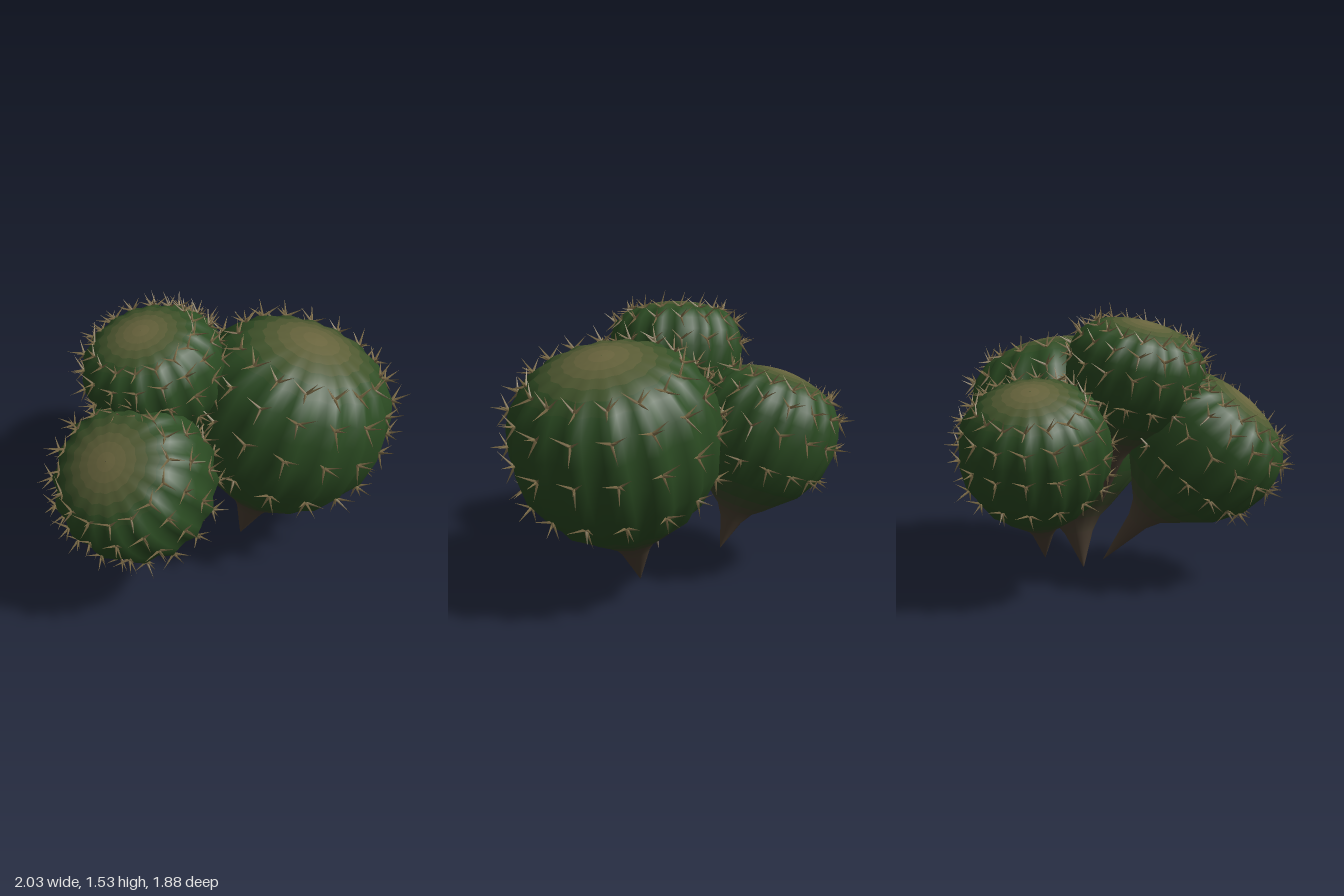
import * as THREE from 'three';
import { mergeGeometries } from 'three/addons/utils/BufferGeometryUtils.js';

const RIBS = 16, SEGS = RIBS * 4;
const UP = new THREE.Vector3(0, 1, 0);
const GREEN = new THREE.Color(0x2b4b22), BROWN = new THREE.Color(0x4a3e32), OLIVE = new THREE.Color(0x6c663f);

// Shared profile: [height / length, radius / max radius, rib depth, green share]
const PROFILE = [
  [0, 0.004, 0, 0], [0.15, 0.15, 0, 0], [0.21, 0.25, 0.01, 0.15], [0.25, 0.38, 0.02, 0.4], [0.3, 0.52, 0.035, 0.7],
  [0.38, 0.75, 0.055, 1], [0.52, 0.95, 0.075, 1], [0.65, 1, 0.08, 1], [0.76, 0.975, 0.08, 1], [0.84, 0.91, 0.08, 1],
  [0.91, 0.77, 0.075, 1], [0.945, 0.63, 0.07, 0.9], [0.965, 0.5, 0.06, 0.7], [0.98, 0.37, 0.05, 0.45],
  [0.99, 0.25, 0.03, 0.25], [0.997, 0.12, 0.01, 0.1], [1, 0.004, 0, 0],
];
const SPINE_ROWS = [0.5, 0.69, 0.84, 0.925];

function seeded(seed) {
  return () => {
    seed = (seed * 16807) % 2147483647;
    return seed / 2147483647;
  };
}

// Ribbed body, one material group for every band of the profile
function bodyMesh({ length, radius, stem }) {
  const positions = [], index = [], materials = [];
  const geometry = new THREE.BufferGeometry();
  PROFILE.forEach(([h, r, depth, green], j) => {
    for (let i = 0; i < SEGS; i++) {
      const a = (i / SEGS) * Math.PI * 2;
      const rr = radius * r * (1 - depth * (0.5 - 0.5 * Math.cos(a * RIBS)));
      positions.push(Math.sin(a) * rr, h ** stem * length, Math.cos(a) * rr);
    }
    if (j === 0) return;
    const start = index.length;
    for (let i = 0; i < SEGS; i++) {
      const n = (i + 1) % SEGS;
      const a = (j - 1) * SEGS + i, b = (j - 1) * SEGS + n;
      const c = j * SEGS + n, d = j * SEGS + i;
      index.push(a, b, c, a, c, d);
    }
    geometry.addGroup(start, index.length - start, j - 1);
    const share = (green + PROFILE[j - 1][3]) / 2;
    const color = (h < 0.6 ? BROWN : OLIVE).clone().lerp(GREEN, share);
    materials.push(new THREE.MeshStandardMaterial({ color, roughness: 0.9 }));
  });
  geometry.setAttribute('position', new THREE.Float32BufferAttribute(positions, 3));
  geometry.setIndex(index);
  geometry.computeVertexNormals();
  const mesh = new THREE.Mesh(geometry, materials);
  mesh.name = 'ribbedBody';
  return mesh;
}

// Point on a ridge and slope of the profile there, as (radius, height)
function profileAt(h, { length, radius, stem }) {
  const j = PROFILE.findIndex((p) => p[0] >= h);
  const [low, high] = [PROFILE[j - 1], PROFILE[j]].map(([y, r]) => new THREE.Vector2(r * radius, y ** stem * length));
  const t = (h - PROFILE[j - 1][0]) / (PROFILE[j][0] - PROFILE[j - 1][0]);
  return { point: low.clone().lerp(high, t), along: high.clone().sub(low).normalize() };
}

// Clusters of thin spikes sitting on the ridges
function spinesMesh(shape, random) {
  const spikes = [];
  const size = 0.05 + shape.radius * 0.085;
  for (const row of SPINE_ROWS) {
    const { point, along } = profileAt(row, shape);
    for (let i = 0; i < RIBS; i++) {
      const a = (i / RIBS) * Math.PI * 2;
      const out = new THREE.Vector3(Math.sin(a), 0, Math.cos(a));
      const side = new THREE.Vector3(Math.cos(a), 0, -Math.sin(a));
      const rise = out.clone().multiplyScalar(along.x).addScaledVector(UP, along.y);
      const normal = out.clone().multiplyScalar(along.y).addScaledVector(UP, -along.x);
      const base = out.clone().multiplyScalar(point.x).addScaledVector(UP, point.y).addScaledVector(normal, -0.005);
      for (let k = 0; k < 4; k++) {
        // three spread prongs and one pointing outward
        const t = Math.PI / 6 + (k * Math.PI * 2) / 3 + (random() - 0.5) * 0.4;
        const spread = k < 3 ? 1.1 : 0.25;
        const dir = normal.clone().multiplyScalar(0.6)
          .addScaledVector(side, Math.cos(t) * spread)
          .addScaledVector(rise, Math.sin(t) * spread).normalize();
        const l = size * (0.85 + random() * 0.35);
        const spike = new THREE.ConeGeometry(size * 0.1, l, 3).translate(0, l / 2, 0);
        spike.applyQuaternion(new THREE.Quaternion().setFromUnitVectors(UP, dir));
        spikes.push(spike.translate(base.x, base.y, base.z));
      }
    }
  }
  const material = new THREE.MeshStandardMaterial({ color: 0x87754f, roughness: 0.9 });
  const mesh = new THREE.Mesh(mergeGeometries(spikes), material);
  mesh.name = 'spines';
  return mesh;
}

export function createModel() {
  const model = new THREE.Group();
  model.name = 'cactusCluster';
  const random = seeded(7);
  // Root tip, direction of growth, length and radius; a smaller stem power gives a longer root
  const balls = [
    { name: 'largeBall', tip: [0.18, 0, 0.17], dir: [0.22, 0.965, 0.14], length: 1.34, radius: 0.54, stem: 1 },
    { name: 'rightBall', tip: [0, 0.1, 0.06], dir: [-0.62, 0.765, 0.17], length: 1.2, radius: 0.415, stem: 0.73 },
    { name: 'backBall', tip: [0.19, 0.17, -0.26], dir: [-0.12, 0.92, -0.345], length: 1.01, radius: 0.39, stem: 0.95 },
    { name: 'topBall', tip: [-0.04, 0.45, -0.04], dir: [-0.265, 0.96, -0.02], length: 1.01, radius: 0.365, stem: 0.7 },
  ];
  for (const shape of balls) {
    const ball = new THREE.Group();
    ball.name = shape.name;
    ball.add(bodyMesh(shape), spinesMesh(shape, random));
    ball.position.set(...shape.tip);
    ball.quaternion.setFromUnitVectors(UP, new THREE.Vector3(...shape.dir).normalize());
    model.add(ball);
  }
  return model;
}
